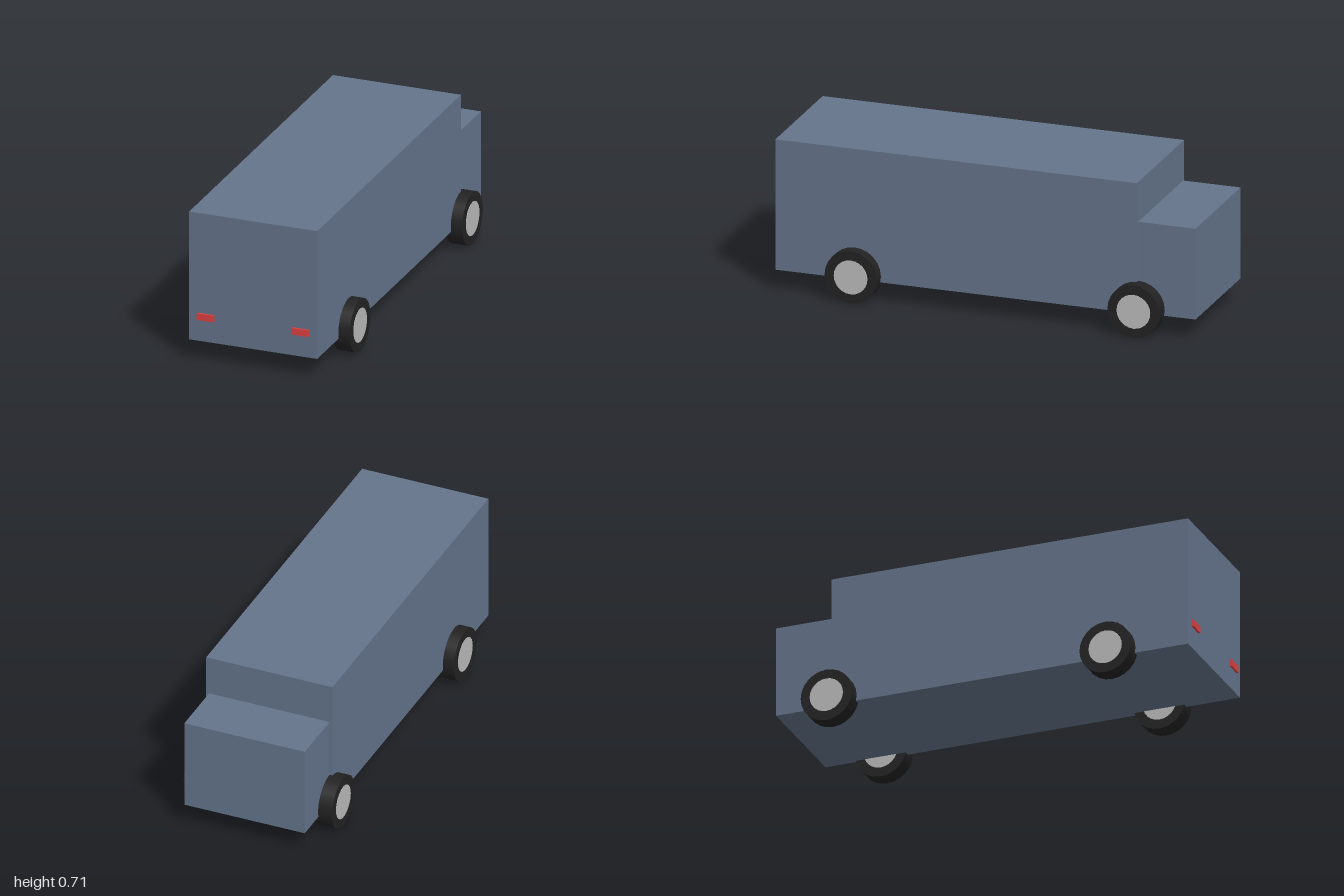
import * as THREE from 'three';

const paint = (color) => new THREE.MeshStandardMaterial({ color });

export function createModel() {
  const model = new THREE.Group();
  model.name = 'boxTruck';
  const body = paint(0x64748b);
  const rubber = paint(0x222222);
  const metal = paint(0xbbbbbb);
  const red = paint(0xdc4040);

  // Box spanning the given minimum and maximum corners
  const box = (name, material, [x0, y0, z0], [x1, y1, z1]) => {
    const mesh = new THREE.Mesh(new THREE.BoxGeometry(x1 - x0, y1 - y0, z1 - z0), material);
    mesh.position.set((x0 + x1) / 2, (y0 + y1) / 2, (z0 + z1) / 2);
    mesh.name = name;
    model.add(mesh);
  };

  // Cargo body and the lower, slightly narrower nose
  box('cargoBody', body, [-0.308, 0.097, -0.727], [0.308, 0.714, 0.99]);
  box('nose', body, [-0.294, 0.097, -1], [0.294, 0.527, -0.727]);

  // Wheel parts share one axle-aligned cylinder each
  const tyreGeometry = new THREE.CylinderGeometry(0.124, 0.124, 0.08, 24).rotateZ(Math.PI / 2);
  const hubGeometry = new THREE.CylinderGeometry(0.08, 0.08, 0.083, 24).rotateZ(Math.PI / 2);

  for (const side of [-1, 1]) {
    const label = side > 0 ? 'left' : 'right';

    // Tail light
    box(label + 'Light', red, [side * 0.2275 - 0.0405, 0.2, 0.985], [side * 0.2275 + 0.0405, 0.232, 1]);

    // Wheels: tyre with a hub passing through it
    for (const [end, z] of [['Nose', -0.73], ['Tail', 0.613]]) {
      const wheel = new THREE.Group();
      wheel.name = label + end + 'Wheel';
      const tyre = new THREE.Mesh(tyreGeometry, rubber);
      tyre.name = 'tyre';
      const hub = new THREE.Mesh(hubGeometry, metal);
      hub.name = 'hub';
      wheel.add(tyre, hub);
      wheel.position.set(side * 0.322, 0.124, z);
      model.add(wheel);
    }
  }
  return model;
}
